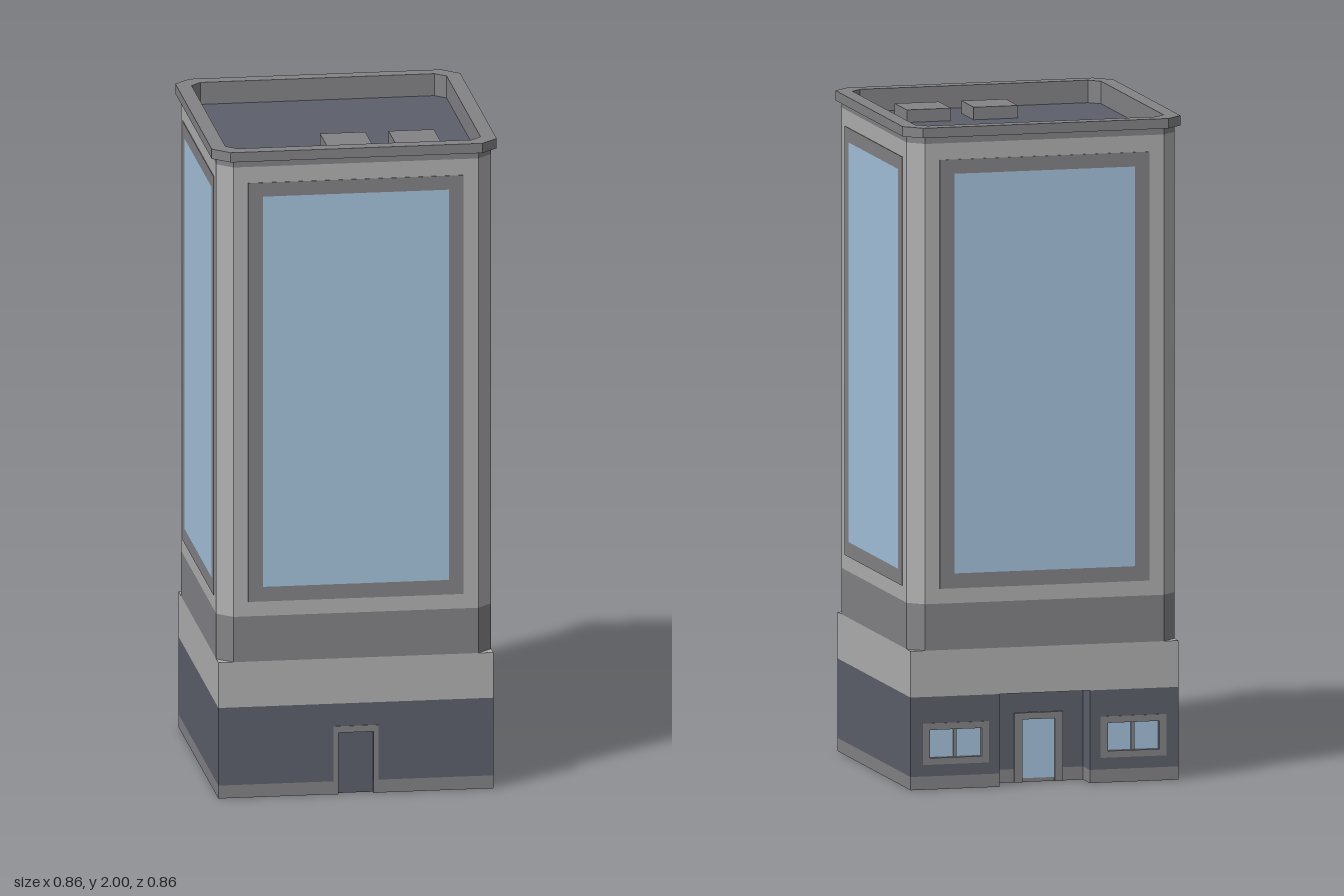
import * as THREE from 'three';

const mat = (color) => new THREE.MeshStandardMaterial({ color, flatShading: true });
const light = mat(0xb0b0b0), trim = mat(0x838387), dark = mat(0x5c606b), glass = mat(0xa5c2db);

const W = 0.415;          // half width of the building
const INSET = 0.015;      // depth of door and window reveals
const PORCH = 0.14;       // half width of the rear porch
const PORCH_Z = 0.34;     // distance of the porch wall from the centre

const poly = (pts) => new THREE.Shape(pts.map(([x, y]) => new THREE.Vector2(x, y)));
const rect = (x0, y0, x1, y1) => poly([[x0, y0], [x1, y0], [x1, y1], [x0, y1]]);

// Square of half width h with corners cut by c
const octagon = (h, c) => poly([
  [-h + c, -h], [h - c, -h], [h, -h + c], [h, h - c],
  [h - c, h], [-h + c, h], [-h, h - c], [-h, -h + c],
]);

const withHole = (shape, hole) => {
  shape.holes.push(hole);
  return shape;
};

const add = (parent, name, geometry, material) => {
  const mesh = new THREE.Mesh(geometry, material);
  mesh.name = name;
  parent.add(mesh);
  return mesh;
};

// Floor plan raised from y0 to y1
const storey = (parent, name, plan, y0, y1, material) => {
  const g = new THREE.ExtrudeGeometry(plan, { depth: y1 - y0, bevelEnabled: false });
  g.rotateX(-Math.PI / 2).translate(0, y0, 0);
  return add(parent, name, g, material);
};

// Upright shape whose thickness runs from z0 to z1
const panel = (parent, name, shape, z0, z1, material) => {
  const g = new THREE.ExtrudeGeometry(shape, { depth: z1 - z0, bevelEnabled: false });
  return add(parent, name, g.translate(0, 0, z0), material);
};

// Door surround: an upside-down U standing on the ground
const arch = (outer, top, inner, innerTop) => poly([
  [-outer, 0], [-inner, 0], [-inner, innerTop], [inner, innerTop],
  [inner, 0], [outer, 0], [outer, top], [-outer, top],
]);

export function createModel() {
  const model = new THREE.Group();
  model.name = 'tower';

  // Ground floor core with the rear porch cut out
  const B = W - INSET;
  const plan = () => poly([
    [-W, -B], [W, -B], [W, B], [PORCH, B], [PORCH, PORCH_Z],
    [-PORCH, PORCH_Z], [-PORCH, B], [-W, B],
  ]);
  storey(model, 'plinth', plan(), 0, 0.04, trim);
  storey(model, 'groundFloor', plan(), 0.04, 0.28, dark);
  storey(model, 'stoneBand', rect(-W, -W, W, W), 0.28, 0.42, light);

  // Front wall with a recessed door
  const front = new THREE.Group();
  front.name = 'entrance';
  model.add(front);
  const D = 0.053, DH = 0.19;
  for (const s of [-1, 1]) {
    const [a, b] = s < 0 ? [-W, -D] : [D, W];
    panel(front, 'frontPlinth', rect(a, 0, b, 0.04), B, W, trim);
  }
  panel(front, 'frontWall', poly([
    [-W, 0.04], [-D, 0.04], [-D, DH], [D, DH], [D, 0.04], [W, 0.04], [W, 0.28], [-W, 0.28],
  ]), B, W, dark);
  panel(front, 'doorFrame', arch(0.068, 0.21, D, DH), B, W + 0.002, trim);
  panel(front, 'door', rect(-D, 0, D, DH), B - 0.01, B + 0.002, dark);

  // Rear walls, each with a two-pane window, and the porch door
  const back = new THREE.Group();
  back.name = 'rear';
  back.rotation.y = Math.PI;
  model.add(back);
  for (const s of [-1, 1]) {
    const cx = s * 0.275;
    const [a, b] = s < 0 ? [-W, -PORCH] : [PORCH, W];
    const opening = () => rect(cx - 0.08, 0.095, cx + 0.08, 0.18);
    panel(back, 'rearPlinth', rect(a, 0, b, 0.04), B, W, trim);
    panel(back, 'rearWall', withHole(rect(a, 0.04, b, 0.28), opening()), B, W, dark);
    panel(back, 'windowFrame',
      withHole(rect(cx - 0.102, 0.075, cx + 0.102, 0.2), opening()), B, W + 0.002, trim);
    panel(back, 'windowGlass', opening(), B - 0.01, B + 0.002, glass);
    panel(back, 'windowMullion', rect(cx - 0.005, 0.095, cx + 0.005, 0.18), B, B + 0.007, trim);
  }
  panel(back, 'rearDoorFrame', arch(0.075, 0.21, 0.05, DH), PORCH_Z, PORCH_Z + 0.008, trim);
  panel(back, 'rearDoorGlass', rect(-0.05, 0.012, 0.05, DH), PORCH_Z, PORCH_Z + 0.003, glass);

  // Tower shaft with cut corners
  const C = 0.045;
  storey(model, 'shaftBand', octagon(W, C), 0.42, 0.56, trim);
  storey(model, 'shaft', octagon(W, C), 0.56, 1.93, light);
  storey(model, 'shaftTop', withHole(octagon(W, C), octagon(0.395, 0.035)), 1.93, 1.95, light);
  storey(model, 'cornice', withHole(octagon(W, C), octagon(0.395, 0.035)), 1.95, 1.97, trim);

  // Large glazed panel on every side
  for (let i = 0; i < 4; i++) {
    const side = new THREE.Group();
    side.name = 'facade';
    side.rotation.y = i * Math.PI / 2;
    model.add(side);
    panel(side, 'facadeFrame',
      withHole(rect(-0.325, 0.605, 0.325, 1.9), rect(-0.28, 0.65, 0.28, 1.857)), W - 0.01, W + 0.002, trim);
    panel(side, 'facadeGlass', rect(-0.28, 0.65, 0.28, 1.857), W - 0.01, W + 0.002, glass);
  }

  // Parapet, roof deck and rooftop units
  storey(model, 'parapetLining', withHole(octagon(0.396, 0.035), octagon(0.385, 0.032)), 1.93, 1.97, trim);
  storey(model, 'parapetCap', withHole(octagon(0.43, 0.05), octagon(0.385, 0.032)), 1.97, 2, trim);
  storey(model, 'roofDeck', octagon(0.39, 0.032), 1.92, 1.932, dark);
  for (const x of [0, 0.207]) {
    const unit = add(model, 'roofUnit', new THREE.BoxGeometry(0.137, 0.04, 0.137), trim);
    unit.position.set(x, 1.95, 0.207);
  }

  return model;
}
